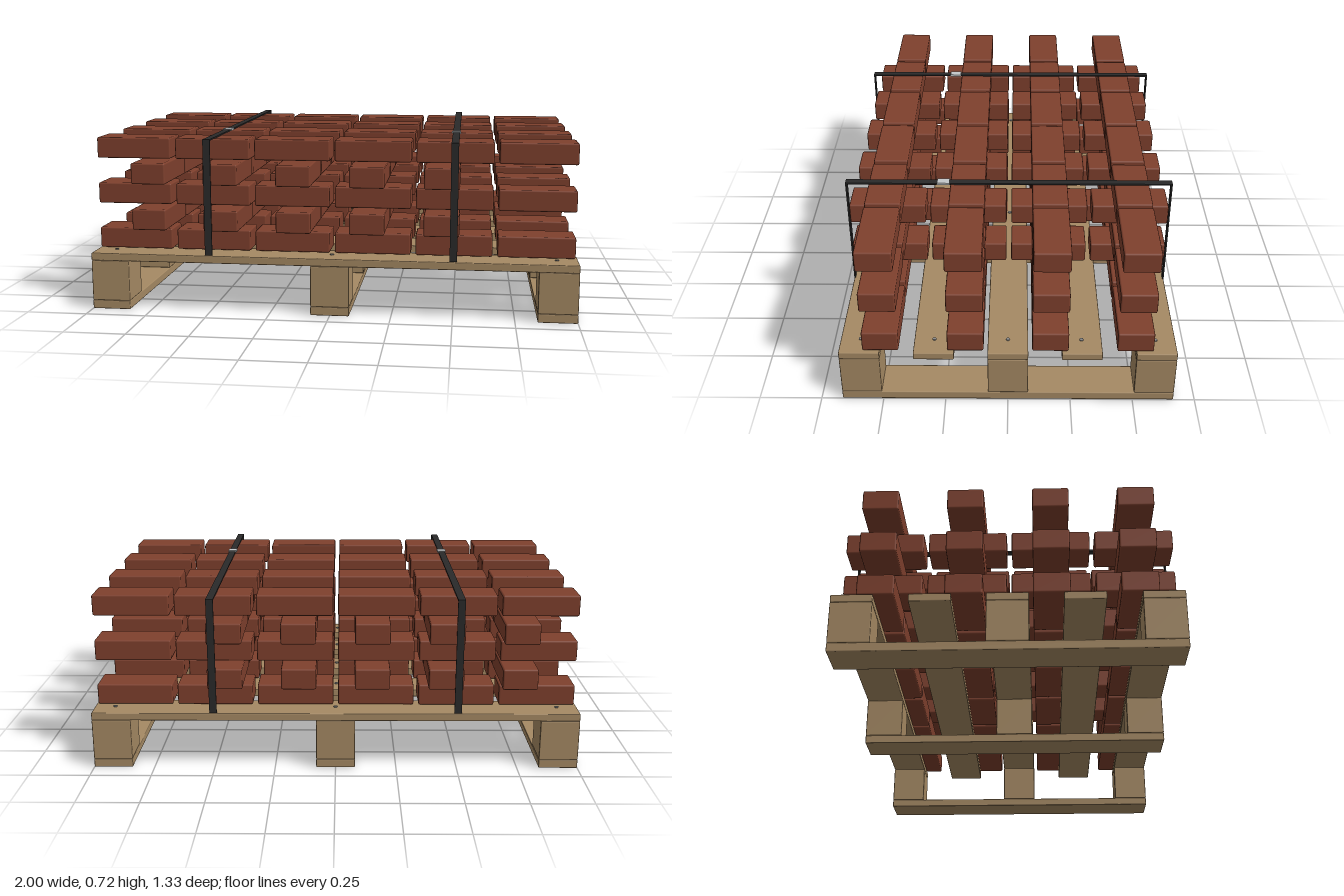
import * as THREE from 'three';
import { RoundedBoxGeometry } from 'three/addons/geometries/RoundedBoxGeometry.js';

const material = (name, color) => {
  const m = new THREE.MeshStandardMaterial({ color });
  m.name = name;
  return m;
};

export function createModel() {
  const wood = material('pale wood', 0xa68a64);
  const clay = material('brick red', 0x7f402d);
  const band = material('black strap', 0x2a2a2a);
  const metal = material('buckle metal', 0xc4c8ca);
  const nailSteel = material('nail steel', 0x8a8a8a);

  const model = new THREE.Group();
  model.name = 'brickPallet';
  const group = (name) => {
    const g = new THREE.Group();
    g.name = name;
    model.add(g);
    return g;
  };
  const place = (parent, name, geometry, mat, x, y, z) => {
    const mesh = new THREE.Mesh(geometry, mat);
    mesh.name = name;
    mesh.position.set(x, y, z);
    parent.add(mesh);
  };
  const bevelBox = (w, h, d, r) => new RoundedBoxGeometry(w, h, d, 1, r);

  // Pallet: three skids, nine blocks and five deck boards
  const pallet = group('pallet');
  const skid = bevelBox(0.16, 0.036, 1.33, 0.004);
  const block = bevelBox(0.16, 0.17, 0.16, 0.004);
  const board = bevelBox(2, 0.032, 0.16, 0.004);
  const nail = new THREE.CylinderGeometry(0.008, 0.008, 0.006, 8);
  for (const x of [-0.92, 0, 0.92]) {
    place(pallet, 'skid', skid, wood, x, 0.018, 0);
    for (const z of [-0.585, 0, 0.585]) place(pallet, 'block', block, wood, x, 0.121, z);
  }
  for (const z of [-0.585, -0.292, 0, 0.292, 0.585]) {
    place(pallet, 'deckBoard', board, wood, 0, 0.222, z);
    for (const x of [-0.915, 0, 0.915]) place(pallet, 'nail', nail, nailSteel, x, 0.239, z);
  }

  // Five brick layers, alternating lengthwise and crosswise
  const bricks = group('bricks');
  const lengthwise = bevelBox(0.313, 0.087, 0.143, 0.007);
  const crosswise = bevelBox(0.143, 0.087, 0.313, 0.007);
  for (let layer = 0; layer < 5; layer++) {
    const crossed = layer % 2 === 1;
    const y = 0.286 + layer * 0.0955;
    for (let row = 0; row < 4; row++) {
      const z = -0.5 + row / 3;
      for (let i = 0; i < (crossed ? 5 : 6); i++) {
        const x = crossed ? -0.75 + i * 0.3 : (i - 2.5) / 3;
        place(bricks, 'brick', crossed ? crosswise : lengthwise, clay, x, y, z);
      }
    }
  }

  // Two straps over the stack, each with a buckle
  const straps = group('straps');
  const strapTop = new THREE.BoxGeometry(0.03, 0.006, 1.33);
  const strapSide = new THREE.BoxGeometry(0.03, 0.476, 0.006);
  const buckle = new THREE.BoxGeometry(0.038, 0.009, 0.05);
  for (const x of [-0.5, 0.5]) {
    place(straps, 'strapTop', strapTop, band, x, 0.716, 0);
    for (const z of [-0.662, 0.662]) place(straps, 'strapSide', strapSide, band, x, 0.478, z);
    place(straps, 'buckle', buckle, metal, x, 0.718, 0.266);
  }

  return model;
}
